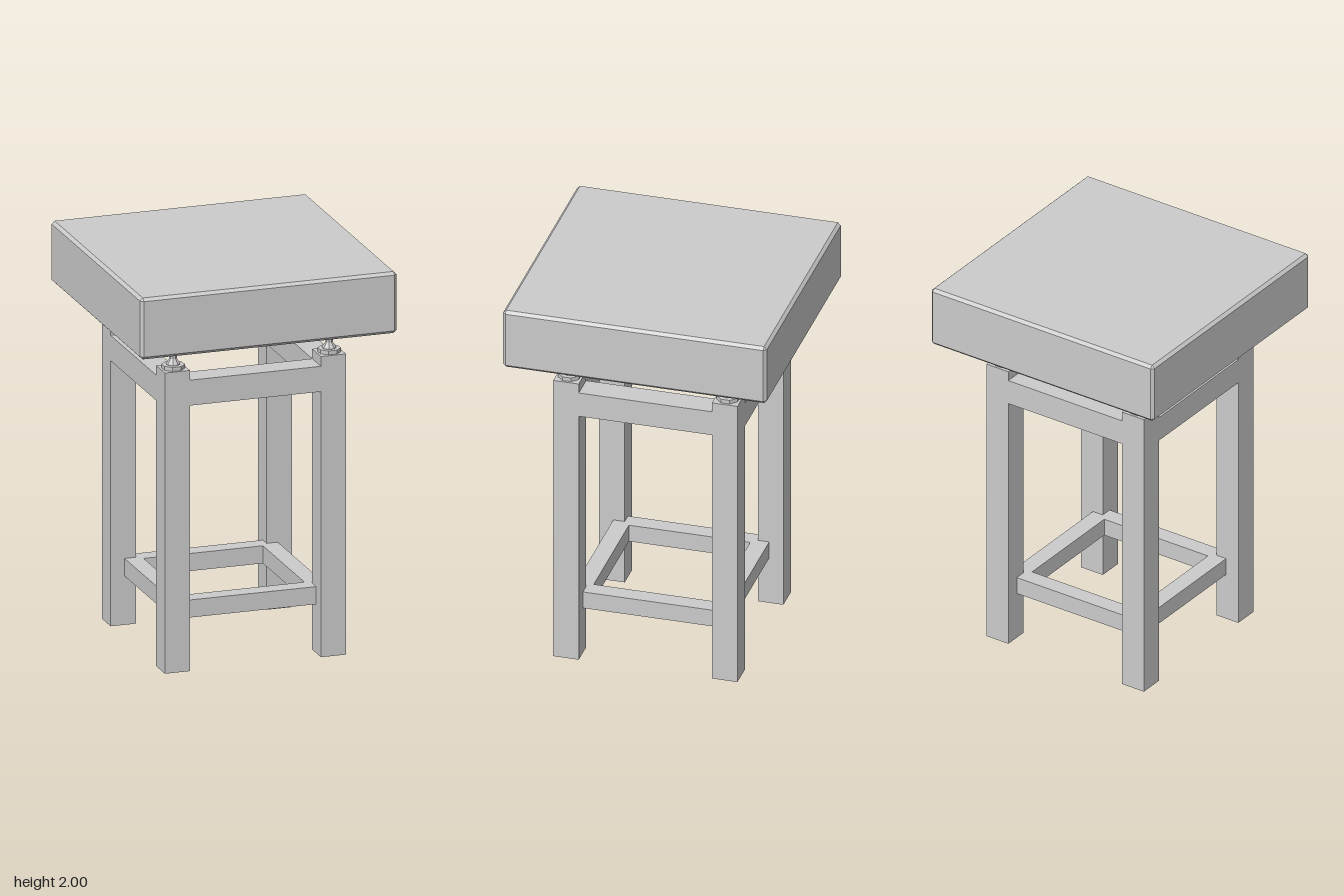
import * as THREE from 'three';
import { ConvexGeometry } from 'three/addons/geometries/ConvexGeometry.js';

const material = new THREE.MeshStandardMaterial({ color: 0xcccccc, flatShading: true });

function add(parent, name, geometry, x, y, z) {
  const mesh = new THREE.Mesh(geometry, material);
  mesh.name = name;
  mesh.position.set(x, y, z);
  parent.add(mesh);
  return mesh;
}

// Box with every edge cut at 45 degrees
function chamferedBox(w, h, d, c) {
  const points = [];
  for (const sx of [-1, 1]) for (const sy of [-1, 1]) for (const sz of [-1, 1]) {
    const x = w / 2, y = h / 2, z = d / 2;
    points.push(
      new THREE.Vector3(sx * x, sy * (y - c), sz * (z - c)),
      new THREE.Vector3(sx * (x - c), sy * y, sz * (z - c)),
      new THREE.Vector3(sx * (x - c), sy * (y - c), sz * z));
  }
  return new ConvexGeometry(points);
}

export function createModel() {
  const model = new THREE.Group();
  model.name = 'pedestalTable';

  const LEG = 0.13, LEG_H = 1.54, C = 0.403;
  const span = 2 * C - LEG;

  // Thick top slab
  add(model, 'topSlab', chamferedBox(1.325, 0.315, 1.34, 0.015), 0, 1.8425, 0);

  // Levelling foot profile: flange, cone, stem and cap
  const profile = [
    [0, 0], [0.057, 0], [0.057, 0.02], [0.034, 0.02], [0.034, 0.026], [0.018, 0.05],
    [0.018, 0.115], [0.042, 0.115], [0.042, 0.142], [0, 0.142],
  ].map(([r, y]) => new THREE.Vector2(r, y));
  const leveller = new THREE.LatheGeometry(profile, 8, Math.PI / 8);

  // Legs with a leveller on each
  const legGeometry = new THREE.BoxGeometry(LEG, LEG_H, LEG);
  for (const sx of [-1, 1]) for (const sz of [-1, 1]) {
    const name = (sz > 0 ? 'front' : 'back') + (sx > 0 ? 'Left' : 'Right');
    add(model, name + 'Leg', legGeometry, sx * C, LEG_H / 2, sz * C);
    add(model, name + 'Leveller', leveller, sx * C, LEG_H, sz * C);
  }

  // Upper rails flush with the legs, and a lower stretcher ring set inward
  const rail = new THREE.BoxGeometry(span, 0.13, LEG);
  const ring = 0.352, bar = 0.088;
  const longBar = new THREE.BoxGeometry(2 * ring + bar, 0.09, bar);
  const shortBar = new THREE.BoxGeometry(2 * ring - bar, 0.09, bar);
  for (const s of [-1, 1]) {
    const end = s > 0 ? 'front' : 'back', side = s > 0 ? 'left' : 'right';
    add(model, end + 'Rail', rail, 0, 1.425, s * C);
    add(model, side + 'Rail', rail, s * C, 1.425, 0).rotation.y = Math.PI / 2;
    add(model, end + 'Stretcher', longBar, 0, 0.295, s * ring);
    add(model, side + 'Stretcher', shortBar, s * ring, 0.295, 0).rotation.y = Math.PI / 2;
  }
  return model;
}
